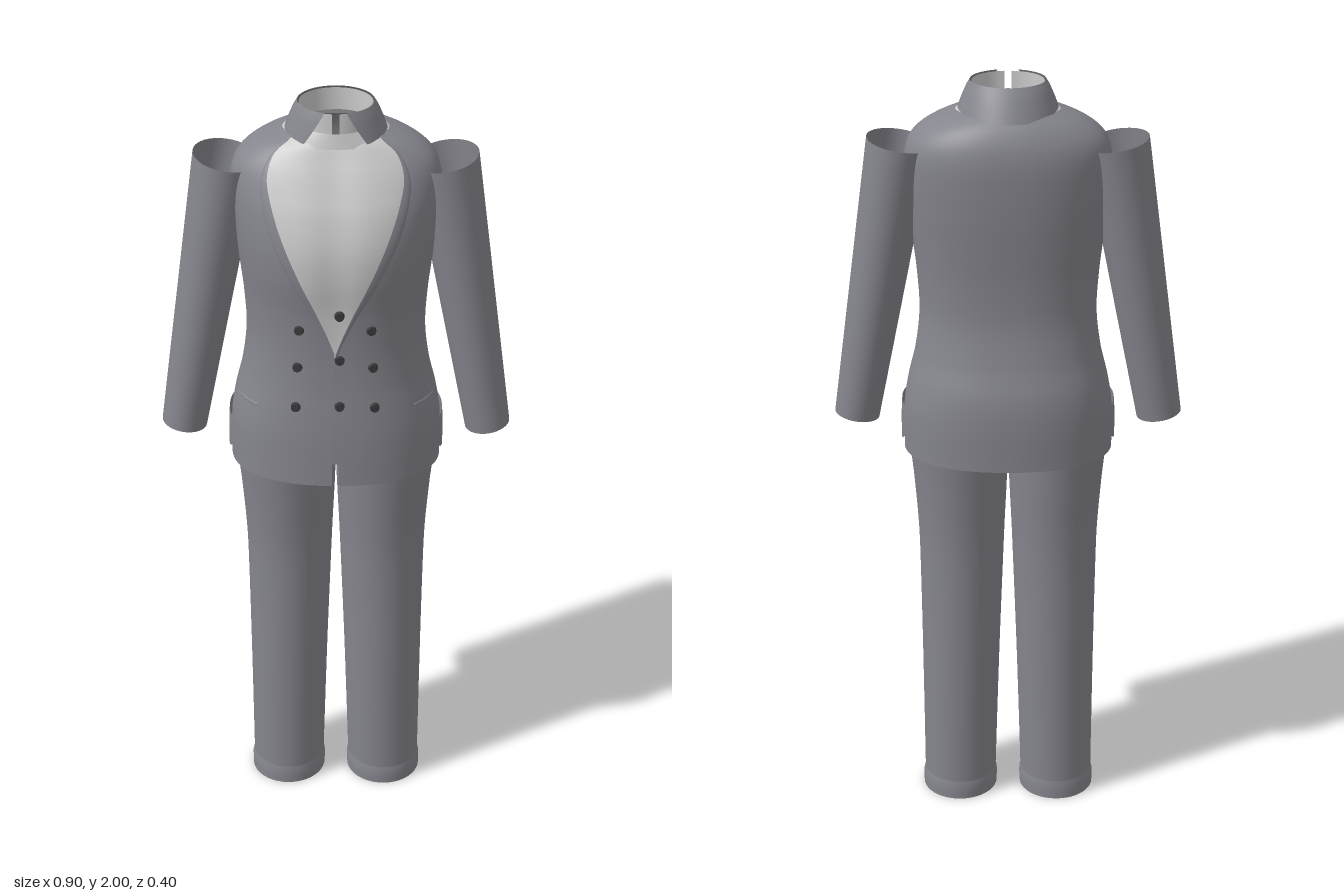
import * as THREE from 'three';

const material = (color) => new THREE.MeshStandardMaterial({ color, side: THREE.DoubleSide, roughness: 0.8 });

// Smooth interpolation through rows of [y, ...values]
function sample(rows, y) {
  let i = 0;
  while (i < rows.length - 2 && y > rows[i + 1][0]) i++;
  const a = rows[i], b = rows[i + 1], h = b[0] - a[0];
  const t = THREE.MathUtils.clamp((y - a[0]) / h, 0, 1);
  const p = rows[Math.max(i - 1, 0)], n = rows[Math.min(i + 2, rows.length - 1)];
  return a.slice(1).map((v, k) => {
    const w = b[k + 1];
    const m0 = h * (w - p[k + 1]) / (b[0] - p[0]), m1 = h * (n[k + 1] - v) / (n[0] - a[0]);
    const t2 = t * t, t3 = t2 * t;
    return v * (2 * t3 - 3 * t2 + 1) + m0 * (t3 - 2 * t2 + t) + w * (3 * t2 - 2 * t3) + m1 * (t3 - t2);
  });
}

// Surface over a grid; point(u, v) returns [x, y, z]
function surface(name, mat, cols, rows, point, closed = false) {
  const pos = [], index = [], n = closed ? cols : cols + 1;
  for (let j = 0; j <= rows; j++)
    for (let i = 0; i < n; i++) pos.push(...point(i / cols, j / rows));
  for (let j = 0; j < rows; j++)
    for (let i = 0; i < cols; i++) {
      const a = j * n + i, b = j * n + (i + 1) % n;
      index.push(a, b, b + n, a, b + n, a + n);
    }
  const g = new THREE.BufferGeometry();
  g.setAttribute('position', new THREE.Float32BufferAttribute(pos, 3));
  g.setIndex(index);
  g.computeVertexNormals();
  const mesh = new THREE.Mesh(g, mat);
  mesh.name = name;
  return mesh;
}

// Torso: y, half width, front z, back z
const TORSO = [
  [1.03, 0.27, 0.195, -0.2], [1.15, 0.268, 0.192, -0.2], [1.22, 0.257, 0.188, -0.193],
  [1.3, 0.238, 0.182, -0.172], [1.4, 0.226, 0.18, -0.155], [1.5, 0.23, 0.186, -0.155],
  [1.6, 0.241, 0.2, -0.163], [1.68, 0.25, 0.2, -0.17], [1.76, 0.258, 0.182, -0.174],
  [1.82, 0.257, 0.157, -0.174], [1.86, 0.244, 0.138, -0.168], [1.89, 0.215, 0.122, -0.157],
  [1.915, 0.17, 0.11, -0.142], [1.93, 0.125, 0.1, -0.125],
];
// Half width of the front opening
const OPENING = [
  [1.03, 0.008], [1.195, 0.008], [1.21, 0.001], [1.38, 0.001], [1.42, 0.01], [1.5, 0.04], [1.6, 0.085],
  [1.72, 0.134], [1.8, 0.158], [1.85, 0.164], [1.9, 0.145], [1.93, 0.105],
];
const power = (v, e) => Math.sign(v) * Math.abs(v) ** e;

// Point on the torso; angle 0 is the front, offset moves outward
function torsoPoint(angle, y, offset = 0) {
  const [a, front, back] = sample(TORSO, y), c = Math.cos(angle);
  return [(a + offset) * power(Math.sin(angle), 2 / 2.25), y,
    ((c > 0 ? front : -back) + offset) * power(c, 2 / 2.25)];
}
const torsoAngle = (x, y) => Math.asin(power(Math.min(Math.abs(x) / sample(TORSO, y)[0], 1), 1.125)) * Math.sign(x);
const openingAngle = (y) => torsoAngle(Math.max(sample(OPENING, y)[0], 0.001), y);

export function createModel() {
  const model = new THREE.Group();
  model.name = 'suit';
  const cloth = material(0x85858d), white = material(0xcccccc), dark = material(0x3a3a3c);

  // Jacket body, open along the front edge
  model.add(surface('jacket', cloth, 80, 90, (u, v) => {
    const y = 1.03 + 0.9 * v, s = openingAngle(y);
    return torsoPoint(s + (2 * Math.PI - 2 * s) * u, y);
  }));

  // Shirt front and the yoke under the jacket neck
  model.add(surface('shirtFront', white, 32, 50, (u, v) => {
    const y = 1.37 + 0.56 * v, s = Math.min(openingAngle(y) + 0.15, 1.5);
    const p = torsoPoint((2 * u - 1) * s, y, -0.007);
    p[2] -= 0.008 * Math.exp(-((p[0] / 0.05) ** 2));
    return p;
  }));
  model.add(surface('shirtYoke', white, 48, 8, (u, v) => {
    const t = u * Math.PI * 2, r = 0.155 - 0.06 * v;
    return [r * Math.sin(t), 1.913 + 0.037 * v, (r - 0.04 * (1 - v)) * Math.cos(t) - 0.012 * (1 - v)];
  }, true));

  // Collar: inner band and folded outer collar
  model.add(surface('collarBand', white, 48, 3, (u, v) => {
    const t = 0.1 + u * (Math.PI * 2 - 0.2);
    return [0.09 * Math.sin(t), 1.94 + 0.057 * v, 0.086 * Math.cos(t)];
  }));
  model.add(surface('collar', cloth, 48, 6, (u, v) => {
    const s = 0.28 + 0.35 * v, t = s + u * (Math.PI * 2 - 2 * s);
    const c = Math.cos(t), flare = v ** 0.8;
    return [(0.094 + 0.034 * flare) * Math.sin(t), 2 - 0.078 * v, (0.09 + (c > 0 ? 0.02 : 0.05) * flare) * c];
  }));

  for (const side of [1, -1]) {
    const label = side > 0 ? 'left' : 'right';

    // Lapel edge rolled along the opening
    model.add(surface(label + 'Lapel', cloth, 6, 50, (u, v) => {
      const y = 1.4 + 0.525 * v, width = 0.02 + 0.12 * Math.sin(Math.PI * v ** 1.4);
      return torsoPoint(side * (openingAngle(y) - 0.01 + width * u), y, 0.006 * Math.sqrt(1 - u * u));
    }));

    // Sleeve: tapered open tube along a tilted axis
    const top = new THREE.Vector3(0.268, 1.848, -0.015), end = new THREE.Vector3(0.392, 1.112, 0.003);
    const axis = end.clone().sub(top).normalize();
    const across = new THREE.Vector3(-axis.y, axis.x, 0).normalize();
    model.add(surface(label + 'Sleeve', cloth, 40, 16, (u, v) => {
      const t = u * Math.PI * 2, p = top.clone().lerp(end, v);
      p.addScaledVector(across, (0.083 - 0.025 * v) * Math.cos(t));
      return [side * p.x, p.y, p.z + (0.1 - 0.037 * v) * Math.sin(t)];
    }, true));

    // Trouser leg: y, inner x, outer x, front z, back z
    const LEG = [
      [0, 0.036, 0.229, 0.1, -0.102], [0.4, 0.024, 0.231, 0.109, -0.109], [0.7, 0.013, 0.234, 0.116, -0.115],
      [0.8, 0.009, 0.237, 0.121, -0.12], [0.95, 0.002, 0.248, 0.137, -0.134], [1.03, 0, 0.256, 0.146, -0.142],
      [1.12, 0, 0.258, 0.15, -0.15],
    ];
    const legPoint = (u, y, offset) => {
      const [inner, outer, front, back] = sample(LEG, y), t = u * Math.PI * 2, c = Math.cos(t);
      return [side * ((inner + outer) / 2 + ((outer - inner) / 2 + offset) * Math.sin(t)), y,
        ((c > 0 ? front : -back) + offset) * c];
    };
    model.add(surface(label + 'Leg', cloth, 40, 40, (u, v) => legPoint(u, 1.12 * v, 0), true));
    model.add(surface(label + 'Cuff', cloth, 40, 3, (u, v) => legPoint(u, 0.052 * v, v === 1 ? 0 : 0.004), true));

    // Side pocket flap and the welt above it
    model.add(surface(label + 'PocketFlap', cloth, 16, 8, (u, v) => {
      const y = 1.16 - v * (0.055 + 0.05 * Math.sin(Math.PI * u) ** 0.5);
      return torsoPoint(side * (1.2 + 0.75 * u), y, 0.007);
    }));
    model.add(surface(label + 'PocketWelt', cloth, 12, 2, (u, v) =>
      torsoPoint(side * (0.85 + 0.45 * u), 1.228 + 0.008 * v, v === 0.5 ? 0.004 : 0.001)));
  }

  // Trouser waist inside the jacket
  model.add(surface('trouserWaist', cloth, 48, 8, (u, v) =>
    torsoPoint(u * Math.PI * 2, 1.08 + 0.2 * v, -0.022), true));

  // Buttons: three rows of three
  const buttons = [[1.465, 0.088, 1.505], [1.36, 0.093, 1.385], [1.25, 0.098, 1.257]];
  for (const [y, x, centreY] of buttons)
    for (const [bx, by] of [[-x, y], [x, y], [0.011, centreY]]) {
      const button = new THREE.Mesh(new THREE.CylinderGeometry(0.011, 0.013, 0.01, 16), dark);
      const a = torsoAngle(bx, by);
      button.position.set(...torsoPoint(a, by, by > 1.5 ? -0.008 : 0.003));
      button.rotation.set(Math.PI / 2, 0, -a * 0.6, 'YXZ');
      button.rotation.y = a * 0.6;
      button.rotation.z = 0;
      button.name = 'button';
      model.add(button);
    }

  return model;
}
